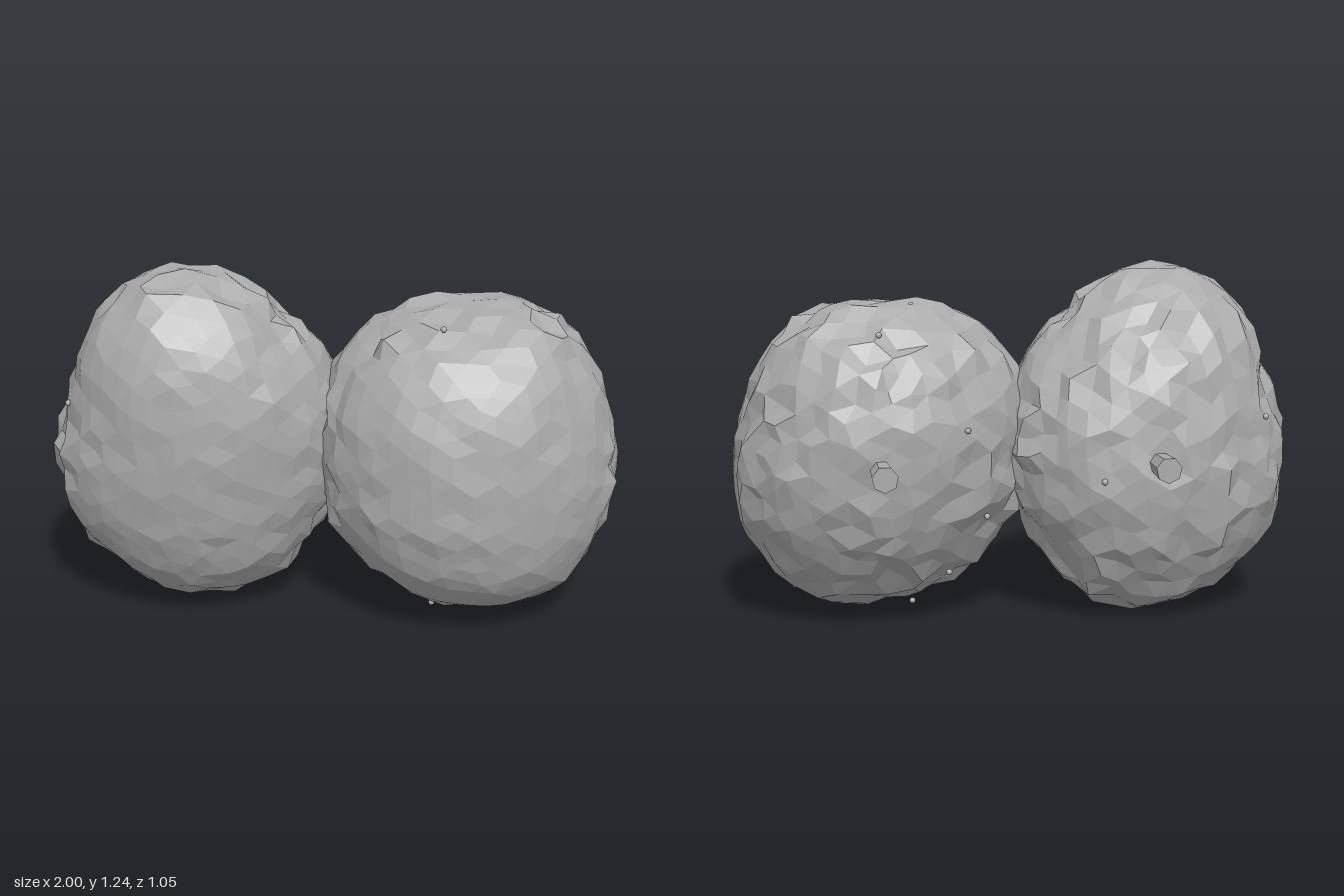
import * as THREE from 'three';
import { mergeVertices } from 'three/addons/utils/BufferGeometryUtils.js';

// small seeded generator, returns -1..1
function seeded(seed) {
  let s = seed;
  return () => {
    s = (s * 16807) % 2147483647;
    return (s / 2147483647) * 2 - 1;
  };
}

// split into separate facets with flat normals
function faceted(geometry) {
  const g = geometry.toNonIndexed();
  g.computeVertexNormals();
  return g;
}

// smooth outline radius at an angle, from radii spaced evenly around the circle
function radiusAt(radii, angle) {
  const n = radii.length;
  const t = ((angle / (2 * Math.PI) + 1) % 1) * n;
  const i = Math.floor(t);
  const f = t - i;
  const [a, b, c, d] = [-1, 0, 1, 2].map((k) => radii[(i + k + n) % n]);
  return b + 0.5 * f * (c - a + f * (2 * a - 5 * b + 4 * c - d + f * (3 * (b - c) + d - a)));
}

// lumpy faceted body: a sphere fitted to a front outline, sheared in depth and roughened
function lumpyBody({ radii, center: [cx, cy, cz], front, back, shearX, shearY, seed }) {
  const sphere = new THREE.IcosahedronGeometry(1, 7);
  sphere.deleteAttribute('normal');
  sphere.deleteAttribute('uv');
  const g = mergeVertices(sphere, 1e-3);
  const rand = seeded(seed);
  const p = g.attributes.position;
  for (let i = 0; i < p.count; i++) {
    const x = p.getX(i), y = p.getY(i), z = p.getZ(i);
    const r = radiusAt(radii, Math.atan2(y, x));
    const rough = z > 0.45 ? 0.008 : 0.016;
    const lump = 1 + rough * rand();
    // the front is fuller towards top and bottom
    const depth = z > 0 ? front * (1 + 0.25 * y * y) : back;
    p.setXYZ(
      i,
      cx + x * r * lump + rough * rand(),
      cy + y * r * lump + rough * rand(),
      cz + z * depth * lump + shearX * x + shearY * y + 0.5 * rough * rand()
    );
  }
  return faceted(g);
}

// taller, egg-shaped fruit
const tallFruit = {
  name: 'rightFruit', seed: 1237, center: [-0.47, 0.6, -0.01],
  front: 0.41, back: 0.405, shearX: -0.03, shearY: 0.04,
  radii: [
    0.52, 0.525, 0.535, 0.545, 0.555, 0.6, 0.635, 0.66, 0.63, 0.58, 0.525, 0.505,
    0.525, 0.535, 0.555, 0.565, 0.57, 0.58, 0.585, 0.58, 0.565, 0.53, 0.51, 0.51,
  ],
  stemX: -0.44,
  beads: [
    [-0.93, 0.79, 0.16], [-0.92, 0.73, 0.09], [-0.85, 0.73, -0.27], [-0.38, 0.04, -0.09],
    [-0.25, 0.54, -0.39], [-0.37, 0.24, -0.31], [-0.44, 0.22, -0.32], [-0.62, 0.22, -0.2],
  ],
};

// rounder fruit, set a little forward
const roundFruit = {
  name: 'leftFruit', seed: 4211, center: [0.47, 0.59, 0.06],
  front: 0.455, back: 0.455, shearX: -0.03, shearY: -0.03,
  radii: [0.52, 0.525, 0.56, 0.54, 0.567, 0.567, 0.535, 0.537, 0.53, 0.54, 0.573, 0.545],
  stemX: 0.51,
  beads: [
    [0.36, 1.1, 0.27], [0.37, 1.12, -0.07], [0.5, 1.04, -0.25], [0.79, 0.98, 0.13],
    [0.93, 0.75, 0.12], [0.36, 0.03, 0.07], [0.34, 0.06, 0.21], [0.21, 0.72, -0.33],
    [0.13, 0.4, -0.23], [0.26, 0.2, -0.2],
  ],
};

export function createModel() {
  const model = new THREE.Group();
  model.name = 'twinFruit';
  const grey = new THREE.MeshStandardMaterial({ color: 0xaaaaaa });
  grey.name = 'grey';

  const add = (name, geometry, parent) => {
    const mesh = new THREE.Mesh(geometry, grey);
    mesh.name = name;
    parent.add(mesh);
    return mesh;
  };

  // stem points backwards and flares slightly towards its free end
  const stemGeometry = faceted(new THREE.CylinderGeometry(0.034, 0.045, 0.22, 7));
  stemGeometry.rotateX(Math.PI / 2);
  const beadGeometry = new THREE.SphereGeometry(0.011, 10, 8);

  for (const fruit of [tallFruit, roundFruit]) {
    const group = new THREE.Group();
    group.name = fruit.name;
    model.add(group);
    add('body', lumpyBody(fruit), group);
    add('stem', stemGeometry, group).position.set(fruit.stemX, 0.6, -0.415);
    for (const bead of fruit.beads) add('bead', beadGeometry, group).position.set(...bead);
  }
  return model;
}
